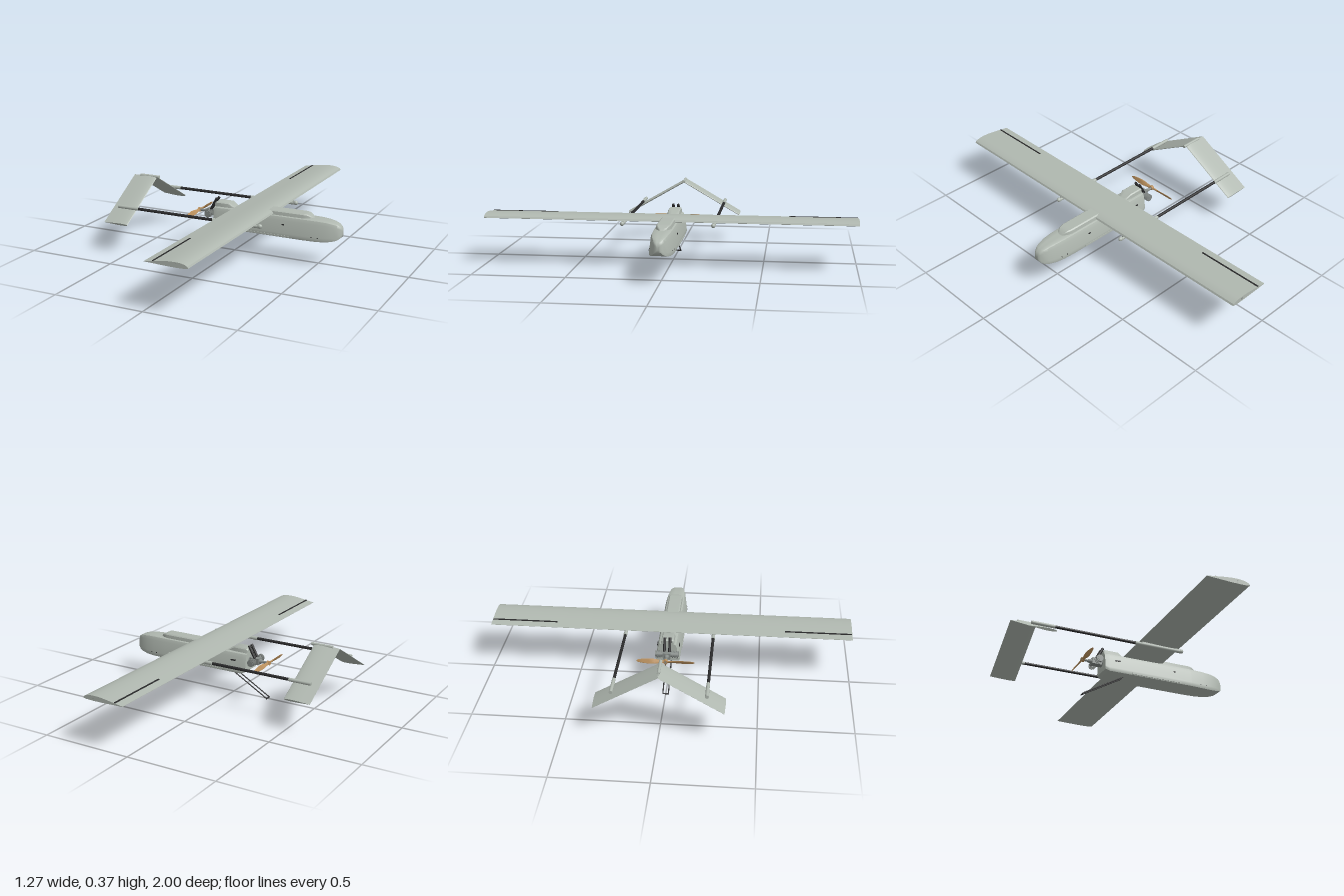
import * as THREE from 'three';
import { toCreasedNormals } from 'three/addons/utils/BufferGeometryUtils.js';

const paint = (name, color) => Object.assign(new THREE.MeshStandardMaterial({ color }), { name });

export function createModel() {
  const model = new THREE.Group();
  model.name = 'unmannedAircraft';
  const grey = paint('airframeGrey', 0xb0b8b0);
  const black = paint('carbonBlack', 0x2b2b2c);
  const metal = paint('engineGrey', 0x858b88);
  const wood = paint('propellerWood', 0xb98f5c);

  function add(name, geometry, material, x = 0, y = 0, z = 0) {
    const mesh = new THREE.Mesh(geometry, material);
    mesh.name = name;
    mesh.position.set(x, y, z);
    model.add(mesh);
    return mesh;
  }
  const box = (name, mat, w, h, d, x, y, z) => add(name, new THREE.BoxGeometry(w, h, d), mat, x, y, z);

  // Straight round bar between two points
  function rod(name, mat, a, b, r0, r1 = r0, sides = 14) {
    const p = new THREE.Vector3(...a), d = new THREE.Vector3(...b).sub(p);
    const mesh = add(name, new THREE.CylinderGeometry(r1, r0, d.length(), sides), mat);
    mesh.position.copy(p).addScaledVector(d, 0.5);
    mesh.quaternion.setFromUnitVectors(new THREE.Vector3(0, 1, 0), d.normalize());
    return mesh;
  }

  // Skin over rings of points ordered from top to +z to bottom to -z, along +x, with end caps
  function loft(rings, crease = 0.6) {
    const pos = [], n = rings[0].length;
    const tri = (...p) => p.forEach(q => pos.push(...q));
    for (let i = 0; i < rings.length - 1; i++)
      for (let j = 0; j < n; j++) {
        const k = (j + 1) % n, a = rings[i], b = rings[i + 1];
        tri(a[j], a[k], b[k]);
        tri(a[j], b[k], b[j]);
      }
    for (const [ring, front] of [[rings[0], false], [rings.at(-1), true]]) {
      const c = [0, 1, 2].map(m => ring.reduce((s, p) => s + p[m], 0) / n);
      for (let j = 0; j < n; j++) {
        const k = (j + 1) % n;
        front ? tri(c, ring[j], ring[k]) : tri(c, ring[k], ring[j]);
      }
    }
    const g = new THREE.BufferGeometry();
    g.setAttribute('position', new THREE.Float32BufferAttribute(pos, 3));
    return toCreasedNormals(g, crease);
  }
  // Section: half outline [width 0..1, height 0..1] scaled and mirrored
  function ring(half, [x, y0, y1, w]) {
    const right = half.map(([u, v]) => [x, y0 + v * (y1 - y0), u * w]);
    const left = half.map(([u, v]) => [x, y0 + v * (y1 - y0), -u * w]).reverse();
    return [...right, ...left];
  }

  // Fuselage: tapered upper sides, wide chine, flat belly; [x, bottom, top, half width]
  const bodySection = [[0.2, 1], [0.58, 1], [0.72, 0.96], [0.84, 0.8], [0.97, 0.2], [1, 0.1], [0.96, 0], [0.3, 0]];
  const body = [
    [-0.105, 0.15, 0.25, 0.06], [-0.08, 0.139, 0.251, 0.066], [0.42, 0.138, 0.252, 0.067],
    [0.5, 0.138, 0.251, 0.063], [0.55, 0.14, 0.248, 0.056], [0.585, 0.145, 0.242, 0.047],
    [0.61, 0.152, 0.234, 0.036], [0.625, 0.162, 0.223, 0.025], [0.632, 0.172, 0.212, 0.015], [0.635, 0.185, 0.2, 0.006],
  ];
  add('fuselage', loft(body.map(s => ring(bodySection, s))), grey);

  // Raised fairings before and behind the wing
  const podSection = [[0.3, 1], [0.75, 1], [0.9, 0.85], [1, 0], [0.3, 0]];
  const rearPod = [[-0.105, 0.24, 0.271, 0.034], [-0.098, 0.24, 0.276, 0.037], [-0.02, 0.24, 0.276, 0.037], [0.01, 0.24, 0.256, 0.032], [0.03, 0.24, 0.252, 0.028]];
  const frontPod = [[0.19, 0.24, 0.274, 0.042], [0.42, 0.24, 0.274, 0.042], [0.44, 0.24, 0.272, 0.036], [0.458, 0.24, 0.263, 0.026], [0.472, 0.24, 0.25, 0.01]];
  add('rearFairing', loft(rearPod.map(s => ring(podSection, s))), grey);
  add('frontFairing', loft(frontPod.map(s => ring(podSection, s))), grey);

  // Airfoil panel running from z = 0 to z = length; chord from trailing edge to leading edge
  function foil(te, le, upper, lower, z0, length) {
    const camber = [[0, 0], [0.02, 0.4], [0.08, 0.72], [0.18, 0.94], [0.3, 1], [0.45, 0.92], [0.62, 0.68], [0.8, 0.38], [1, 0.06]];
    const at = (f, h) => new THREE.Vector2(le + (te - le) * f, h);
    const pts = [
      ...camber.map(([f, h]) => at(f, h * upper)),
      ...camber.slice(1).reverse().map(([f, h]) => at(f, -h * lower)),
    ];
    const g = new THREE.ExtrudeGeometry(new THREE.Shape(pts), { depth: length, bevelEnabled: false });
    return toCreasedNormals(g.translate(0, 0, z0), 0.5);
  }
  add('wing', foil(0.015, 0.25, 0.022, 0.005, -1, 2), grey, 0, 0.256, 0);

  for (const s of [1, -1]) {
    // Wing: aileron slot and round tip socket
    const slot = box('aileronSlot', black, 0.008, 0.004, 0.365, 0.063, 0.2655, s * 0.8155);
    slot.rotation.z = 0.12;
    rod('tipSocket', metal, [0.185, 0.264, s * 0.994], [0.185, 0.264, s * 1.0], 0.007);

    // Tail boom with wing mount and tail sleeve
    const z = s * 0.242;
    rod('boomMount', grey, [0, 0.241, z], [0.262, 0.241, z], 0.0095);
    const cap = add('boomCap', new THREE.SphereGeometry(0.0125, 16, 12), grey, 0.262, 0.243, z);
    cap.scale.set(1.1, 1, 0.9);
    box('boomBracket', grey, 0.22, 0.018, 0.008, 0.14, 0.247, z);
    rod('boomClamp', grey, [-0.012, 0.241, z], [0.012, 0.241, z], 0.0105);
    rod('tailBoom', black, [-0.48, 0.241, z], [0.0, 0.241, z], 0.008);
    rod('tailSleeve', grey, [-0.597, 0.241, z], [-0.47, 0.241, z], 0.0095);

    // Inverted-V tail panel
    const panel = add('tailPanel', foil(-0.637, -0.49, 0.007, 0.007, s > 0 ? 0 : -0.385, 0.385), grey, 0, 0.362, 0);
    panel.rotation.x = s * 0.525;

    // Access slots and small fittings on the fuselage sides
    box('rearVent', black, 0.03, 0.007, 0.008, -0.03, 0.208, s * 0.058);
    box('frontVent', black, 0.014, 0.006, 0.008, 0.315, 0.208, s * 0.058);
    for (const x of [0.478, 0.513])
      rod('fastener', black, [x, 0.16, s * 0.052], [x, 0.16, s * (x < 0.5 ? 0.065 : 0.062)], 0.0025, 0.0025, 8);
    box('bellyRail', grey, 0.3, 0.008, 0.008, 0.2, 0.146, s * 0.065);

    // Opposed engine cylinder with cooling fins
    rod('cylinder', metal, [-0.138, 0.207, 0], [-0.138, 0.207, s * 0.064], 0.014);
    for (let i = 0; i < 4; i++)
      rod('coolingFin', metal, [-0.138, 0.207, s * (0.03 + i * 0.009)], [-0.138, 0.207, s * (0.034 + i * 0.009)], 0.02);

    // Twin upswept exhausts
    rod('exhaust', black, [-0.14, 0.222, s * 0.014], [-0.103, 0.29, s * 0.014], 0.0075);

    // Arresting hook leg
    rod('hookLeg', black, [0.02, 0.14, s * 0.015], [-0.216, 0.004, s * 0.015], 0.0032, 0.0032, 8);
  }
  rod('hookBar', black, [-0.216, 0.0035, -0.018], [-0.216, 0.0035, 0.018], 0.0035, 0.0035, 8);

  // Tail apex joint
  rod('tailJoint', grey, [-0.597, 0.364, 0], [-0.475, 0.364, 0], 0.0085);

  // Engine body and propeller shaft
  rod('engineMount', metal, [-0.12, 0.207, 0], [-0.1, 0.207, 0], 0.018, 0.026);
  box('crankcase', metal, 0.055, 0.036, 0.04, -0.138, 0.207, 0);
  rod('gearCase', metal, [-0.185, 0.207, 0], [-0.16, 0.207, 0], 0.009, 0.016);
  rod('propellerShaft', metal, [-0.226, 0.207, 0], [-0.18, 0.207, 0], 0.007);
  rod('propellerHub', wood, [-0.226, 0.207, 0], [-0.21, 0.207, 0], 0.012);

  // Two-bladed propeller: elliptical sections twisting along each blade
  const blade = [[0, 0.009, 0.006, 0.9], [0.03, 0.009, 0.005, 0.85], [0.06, 0.013, 0.004, 0.7], [0.09, 0.014, 0.0035, 0.55], [0.125, 0.011, 0.003, 0.4], [0.148, 0.007, 0.002, 0.35], [0.156, 0.002, 0.001, 0.3]];
  const bladeGeometry = loft(blade.map(([x, chord, thick, twist]) =>
    Array.from({ length: 12 }, (_, i) => {
      const a = i / 12 * Math.PI * 2, u = Math.cos(a) * chord, v = Math.sin(a) * thick;
      return [x, u * Math.cos(twist) - v * Math.sin(twist), u * Math.sin(twist) + v * Math.cos(twist)];
    })), 1);
  for (const s of [1, -1])
    add('propellerBlade', bladeGeometry, wood, -0.218, 0.207, 0).rotation.y = s * Math.PI / 2;

  return model;
}
